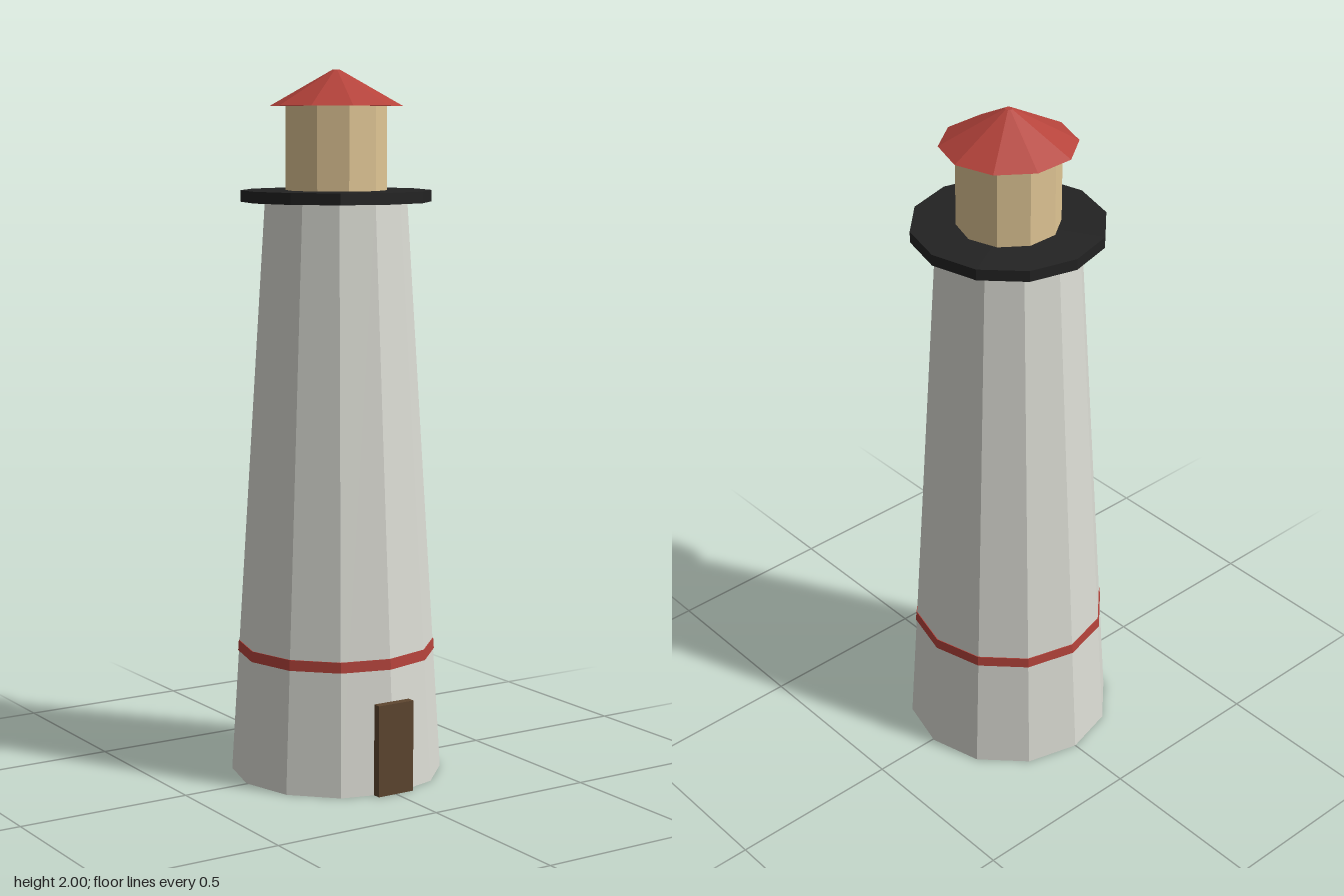
import * as THREE from 'three';

const flat = (name, color) => {
  const m = new THREE.MeshStandardMaterial({ color });
  m.name = name;
  return m;
};

export function createModel() {
  const white = flat('whitewash', 0xdcddd5);
  const red = flat('red paint', 0xb5433b);
  const black = flat('black iron', 0x232323);
  const amber = flat('lantern glow', 0xdfc594);
  const brown = flat('door wood', 0x5e4630);

  const lighthouse = new THREE.Group();
  lighthouse.name = 'lighthouse';

  // Faceted drum between two heights, with a corner on the x axis
  const drum = (name, material, sides, y0, y1, r0, r1, open = false) => {
    const g = new THREE.CylinderGeometry(r1, r0, y1 - y0, sides, 1, open);
    g.rotateY(Math.PI / 2);
    const geometry = g.toNonIndexed();
    geometry.computeVertexNormals(); // one normal per facet
    const mesh = new THREE.Mesh(geometry, material);
    mesh.name = name;
    mesh.position.set(0, (y0 + y1) / 2, -0.004);
    lighthouse.add(mesh);
  };

  drum('tower', white, 12, 0, 1.635, 0.302, 0.2);
  drum('stripe', red, 12, 0.35, 0.38, 0.2825, 0.2805);
  drum('gallery', black, 12, 1.635, 1.667, 0.268, 0.268);
  drum('lanternRoom', amber, 10, 1.667, 1.9, 0.142, 0.142);
  drum('roof', red, 10, 1.9, 2, 0.186, 0.01);

  // Door slab at the foot of the tower
  const door = new THREE.Mesh(new THREE.BoxGeometry(0.115, 0.26, 0.024), brown);
  door.name = 'door';
  door.position.set(0, 0.13, 0.294);
  lighthouse.add(door);

  return lighthouse;
}
